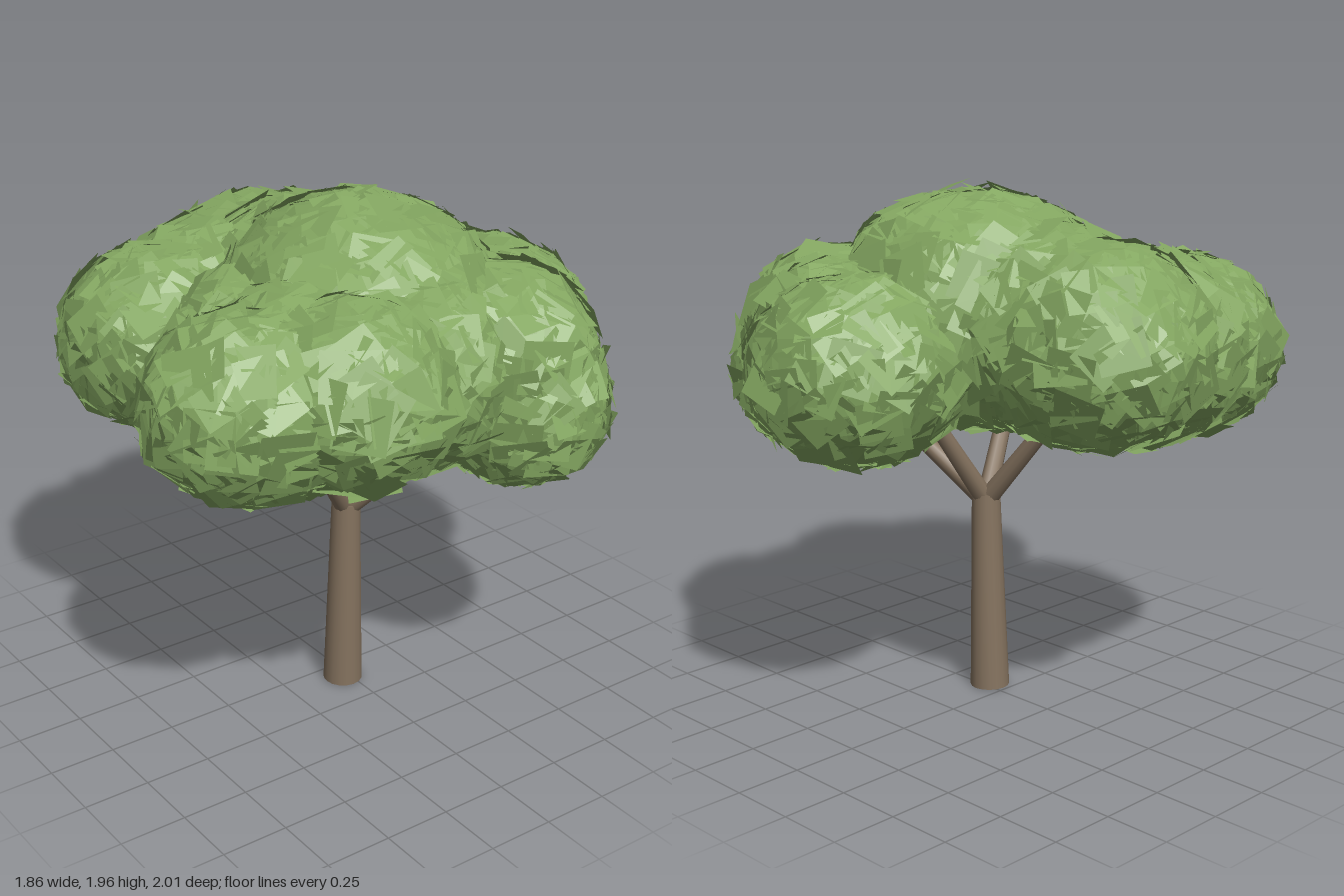
import * as THREE from 'three';

const bark = new THREE.MeshStandardMaterial({ name: 'bark brown', color: 0x85735f });
const leafGreen = new THREE.MeshStandardMaterial({ name: 'leaf green', color: 0x84a761, side: THREE.DoubleSide, flatShading: true });

// Foliage clumps: centre x, y, z and radii x, y, z
const CLUMPS = [
  { name: 'crownClump', c: [0.09, 1.49, -0.04], r: [0.57, 0.44, 0.51] },
  { name: 'upperLeftClump', c: [-0.22, 1.46, -0.02], r: [0.46, 0.38, 0.41] },
  { name: 'leftClump', c: [-0.46, 1.43, -0.01], r: [0.46, 0.37, 0.4] },
  { name: 'midLeftClump', c: [-0.45, 1.39, 0.22], r: [0.43, 0.36, 0.38] },
  { name: 'frontLeftClump', c: [-0.42, 1.36, 0.44], r: [0.42, 0.34, 0.41] },
  { name: 'midFrontClump', c: [-0.02, 1.36, 0.32], r: [0.42, 0.35, 0.37] },
  { name: 'frontClump', c: [0.37, 1.4, 0.6], r: [0.36, 0.32, 0.38] },
  { name: 'midFrontRightClump', c: [0.32, 1.39, 0.36], r: [0.4, 0.36, 0.38] },
  { name: 'rightClump', c: [0.54, 1.43, 0.31], r: [0.36, 0.32, 0.35] },
  { name: 'midRightClump', c: [0.47, 1.41, 0], r: [0.34, 0.34, 0.33] },
  { name: 'backRightClump', c: [0.56, 1.25, -0.38], r: [0.34, 0.31, 0.33] },
  { name: 'upperBackRightClump', c: [0.47, 1.41, -0.35], r: [0.38, 0.31, 0.36] },
  { name: 'midBackClump', c: [0.33, 1.36, -0.47], r: [0.36, 0.33, 0.34] },
  { name: 'backClump', c: [0.12, 1.34, -0.58], r: [0.39, 0.34, 0.4] },
];

function seeded(seed) {
  return () => {
    seed = (seed * 1664525 + 1013904223) >>> 0;
    return seed / 4294967296;
  };
}

// Tapered round limb between two points
function limb(name, a, b, r0, r1, sides) {
  const from = new THREE.Vector3(...a), to = new THREE.Vector3(...b);
  const dir = to.clone().sub(from);
  const mesh = new THREE.Mesh(new THREE.CylinderGeometry(r1, r0, dir.length(), sides), bark);
  mesh.name = name;
  mesh.position.copy(from).add(to).multiplyScalar(0.5);
  mesh.quaternion.setFromUnitVectors(new THREE.Vector3(0, 1, 0), dir.normalize());
  return mesh;
}

function insideOther(p, self) {
  return CLUMPS.some((k) => k !== self &&
    k.c.reduce((s, v, i) => s + ((p.getComponent(i) - v) / k.r[i]) ** 2, 0) < 0.8);
}

// Square leaf cards scattered over an ellipsoid, each tilted a little off its surface
function leafCards(clump, count, rand) {
  const pos = [], index = [];
  const p = new THREE.Vector3(), n = new THREE.Vector3(), corner = new THREE.Vector3();
  const zAxis = new THREE.Vector3(0, 0, 1), q = new THREE.Quaternion(), spin = new THREE.Quaternion();
  const centre = new THREE.Vector3(...clump.c), radii = new THREE.Vector3(...clump.r);
  for (let i = 0; i < count; i++) {
    const y = 1 - 2 * (i + 0.5) / count, a = i * 2.39996, s = Math.sqrt(1 - y * y);
    n.set(Math.cos(a) * s, y, Math.sin(a) * s);
    p.copy(n).multiply(radii).multiplyScalar(0.93 + rand() * 0.06).add(centre);
    n.divide(radii).normalize();
    n.x += (rand() - 0.5) * 0.4;
    n.y += (rand() - 0.5) * 0.4;
    n.z += (rand() - 0.5) * 0.4;
    n.normalize();
    const turn = rand() * Math.PI, half = 0.06 + rand() * 0.035;
    if (insideOther(p, clump)) continue;
    q.setFromUnitVectors(zAxis, n).multiply(spin.setFromAxisAngle(zAxis, turn));
    const b = pos.length / 3;
    for (const [u, v] of [[-1, -1], [1, -1], [1, 1], [-1, 1]]) {
      corner.set(u * half, v * half, 0).applyQuaternion(q).add(p);
      pos.push(corner.x, corner.y, corner.z);
    }
    index.push(b, b + 1, b + 2, b, b + 2, b + 3);
  }
  const geo = new THREE.BufferGeometry();
  geo.setAttribute('position', new THREE.Float32BufferAttribute(pos, 3));
  geo.setIndex(index);
  geo.computeVertexNormals();
  return geo;
}

export function createModel() {
  const model = new THREE.Group();
  model.name = 'tree';

  // Trunk and forked branches
  model.add(limb('trunk', [0.081, 0, 0.024], [0.1, 0.77, 0.024], 0.075, 0.054, 16));
  const fork = [0.1, 0.74, 0.024];
  const tips = {
    frontBranch: [0.25, 1.2, 0.34],
    leftBranch: [-0.24, 1.16, 0.09],
    rightBranch: [0.45, 1.14, -0.22],
    backBranch: [0.13, 1.12, -0.24],
  };
  for (const [name, tip] of Object.entries(tips)) model.add(limb(name, fork, tip, 0.038, 0.028, 10));

  // Foliage: overlapping shells of leaf cards
  const rand = seeded(7);
  for (const clump of CLUMPS) {
    const size = clump.r[0] * clump.r[1] + clump.r[1] * clump.r[2] + clump.r[0] * clump.r[2];
    const leaves = new THREE.Mesh(leafCards(clump, Math.round(size * 900), rand), leafGreen);
    leaves.name = clump.name;
    model.add(leaves);
  }
  return model;
}
